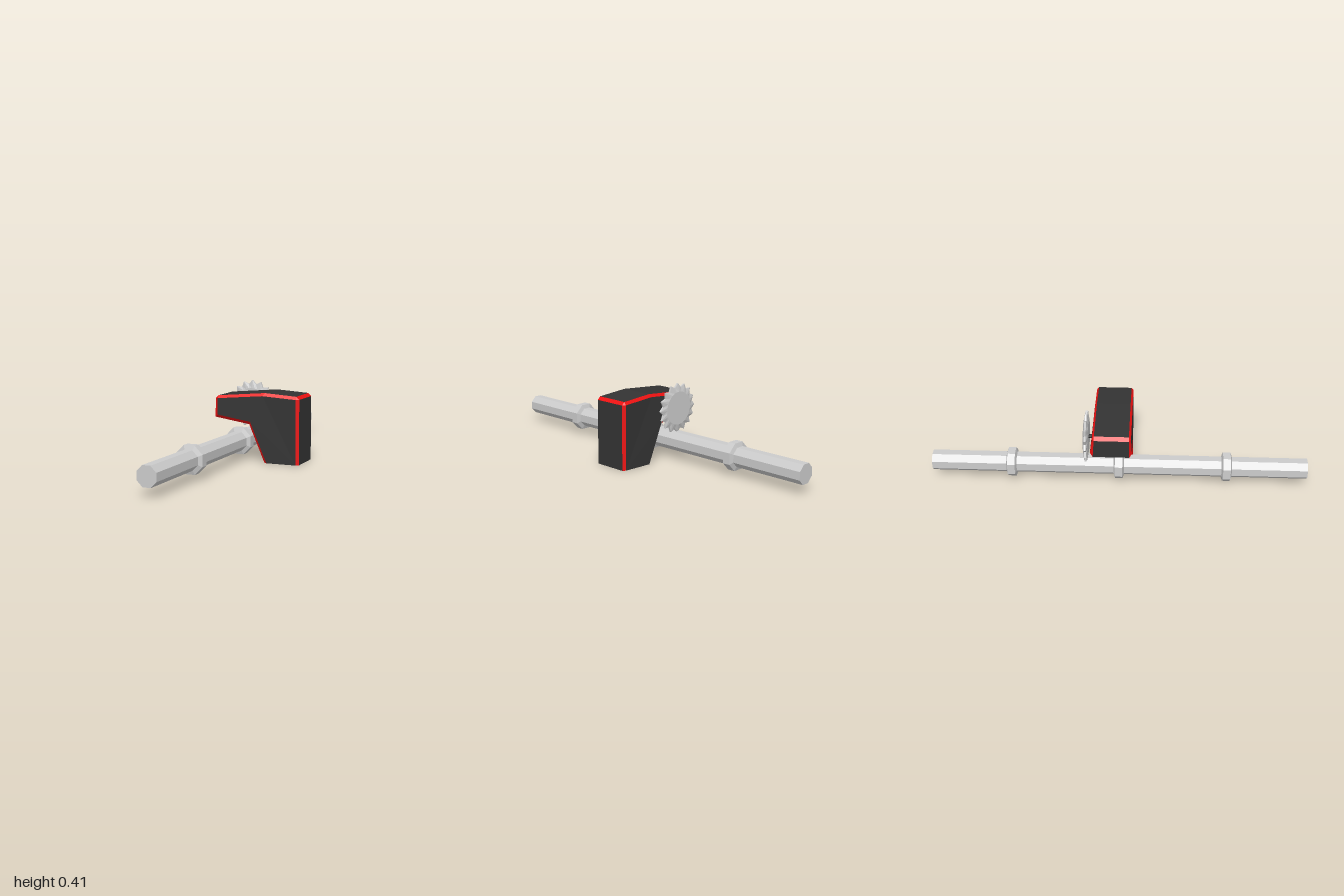
import * as THREE from 'three';

const mat = (color) => new THREE.MeshStandardMaterial({ color, flatShading: true });
const grey = mat(0xcccccc), dark = mat(0x333333), red = mat(0xee1111);

// Collects triangles and quads, skipping collapsed ones
class Faces {
  constructor() { this.pos = []; }
  tri(a, b, c) {
    const area = new THREE.Triangle(a, b, c).getArea();
    if (area > 1e-9) for (const p of [a, b, c]) this.pos.push(p.x, p.y, p.z);
  }
  quad(a, b, c, d) { this.tri(a, b, c); this.tri(a, c, d); }
  mesh(name, material) {
    const g = new THREE.BufferGeometry();
    g.setAttribute('position', new THREE.Float32BufferAttribute(this.pos, 3));
    g.computeVertexNormals();
    return named(new THREE.Mesh(g, material), name);
  }
}

function named(object, name) {
  object.name = name;
  return object;
}

// Bracket-shaped housing: dark faces with red chamfers along the edges
function makeHousing() {
  const outer = [[0.053, 0], [0.25, 0], [0.25, 0.348], [0.233, 0.364], [0.055, 0.375],
    [-0.218, 0.35], [-0.235, 0.333], [-0.235, 0.232], [-0.035, 0.203]];
  const inner = [[0.07, 0], [0.234, 0], [0.234, 0.348], [0.234, 0.348], [0.045, 0.359],
    [-0.218, 0.335], [-0.218, 0.335], [-0.218, 0.246], [-0.025, 0.218]];
  const n = outer.length;
  const flared = (i) => i === 0 || i >= 7; // underside edges bulge slightly
  const loop = (pts, z, zFlared) => pts.map(([x, y], i) => new THREE.Vector3(x, y, flared(i) ? zFlared : z));
  const frontPanel = loop(inner, 0.066, 0.071), frontEdge = loop(outer, 0.055, 0.058);
  const backEdge = loop(outer, -0.125, -0.132), backPanel = loop(inner, -0.136, -0.147);

  const shell = new Faces(), trim = new Faces();
  for (let i = 0; i < n; i++) {
    const j = (i + 1) % n;
    const chamfer = i === 0 ? shell : trim; // flat base stays dark
    const wall = i === 2 || i === 5 ? trim : shell; // cut corners are trimmed
    chamfer.quad(frontPanel[i], frontEdge[i], frontEdge[j], frontPanel[j]);
    wall.quad(frontEdge[i], backEdge[i], backEdge[j], frontEdge[j]);
    chamfer.quad(backEdge[i], backPanel[i], backPanel[j], backEdge[j]);
  }
  const keep = [0, 1, 2, 4, 5, 7, 8];
  const outline = keep.map((i) => new THREE.Vector2(...inner[i]));
  for (const t of THREE.ShapeUtils.triangulateShape(outline, [])) {
    const [a, b, c] = t.map((k) => keep[k]);
    shell.tri(frontPanel[a], frontPanel[b], frontPanel[c]);
    shell.tri(backPanel[c], backPanel[b], backPanel[a]);
  }
  const group = named(new THREE.Group(), 'housing');
  group.add(shell.mesh('housingShell', dark), trim.mesh('edgeTrim', red));
  return group;
}

// Saw-toothed disc, thick in the middle and thin at the teeth
function makeToothedWheel() {
  const teeth = 16, count = teeth * 2;
  const ring = (radius, z) => Array.from({ length: count }, (_, i) => {
    const a = (i + 0.5) * Math.PI * 2 / count + Math.PI / count;
    return new THREE.Vector3(Math.cos(a) * radius(i), Math.sin(a) * radius(i), z);
  });
  const tooth = (i) => (i % 2 ? 0.113 : 0.135);
  const hub = () => 0.09;
  const rings = [ring(hub, 0.013), ring(tooth, 0.005), ring(tooth, -0.005), ring(hub, -0.013)];
  const front = new THREE.Vector3(0, 0, 0.013), back = new THREE.Vector3(0, 0, -0.013);
  const faces = new Faces();
  for (let i = 0; i < count; i++) {
    const j = (i + 1) % count;
    faces.tri(front, rings[0][i], rings[0][j]);
    faces.tri(back, rings[3][j], rings[3][i]);
    for (let k = 0; k < 3; k++) faces.quad(rings[k][i], rings[k + 1][i], rings[k + 1][j], rings[k][j]);
  }
  const wheel = faces.mesh('toothedWheel', grey);
  wheel.rotation.z = Math.PI / 16;
  return wheel;
}

export function createModel() {
  const model = named(new THREE.Group(), 'pipeWithCutter');
  const axisX = -0.116, pipeY = 0.1, wheelY = 0.28;
  const corner = 1 / Math.cos(Math.PI / 8); // flat-to-corner ratio of an octagon

  // Octagonal pipe
  const pipe = new THREE.CylinderGeometry(0.051 * corner, 0.051 * corner, 2, 8, 1, false, Math.PI / 8);
  const pipeMesh = named(new THREE.Mesh(pipe.rotateX(Math.PI / 2), grey), 'pipe');
  pipeMesh.position.set(axisX, pipeY, 0);
  model.add(pipeMesh);

  // Three bevelled collars
  const profile = [[0.05, -0.028], [0.0725, -0.02], [0.0725, 0.02], [0.05, 0.028]]
    .map(([r, y]) => new THREE.Vector2(r * corner, y));
  const collar = new THREE.LatheGeometry(profile, 8, Math.PI / 8).rotateX(Math.PI / 2);
  for (const z of [-0.573, 0, 0.573]) {
    const mesh = named(new THREE.Mesh(collar, grey), 'collar');
    mesh.position.set(axisX, pipeY, z);
    model.add(mesh);
  }

  model.add(makeHousing());

  // Wheel and its short axle behind the housing
  const wheel = makeToothedWheel();
  wheel.position.set(axisX, wheelY, -0.172);
  const axle = new THREE.Mesh(new THREE.CylinderGeometry(0.01, 0.01, 0.05, 8).rotateX(Math.PI / 2), dark);
  axle.position.set(axisX, wheelY, -0.145);
  model.add(wheel, named(axle, 'axle'));
  return model;
}
